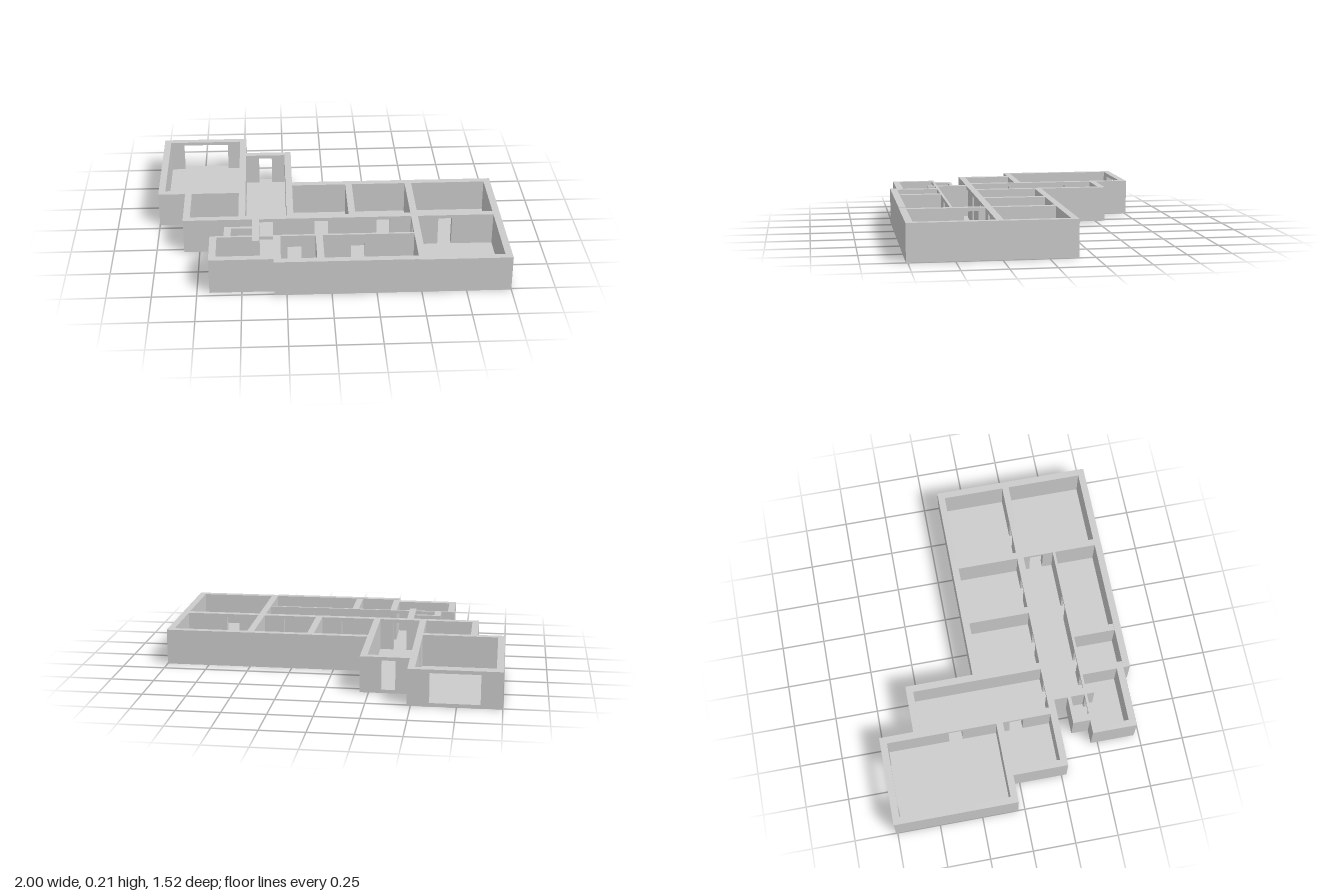
import * as THREE from 'three';

const FLOOR = 0.02, LINTEL = 0.19, TOP = 0.21;

// Building footprint as [x, z] corners
const outline = [
  [-1, -0.76], [-0.48, -0.76], [-0.48, -0.56], [-0.2, -0.56], [-0.2, -0.16], [1, -0.16],
  [1, 0.76], [-0.32, 0.76], [-0.32, 0.72], [-0.68, 0.72], [-0.68, 0.46], [-0.6, 0.46],
  [-0.6, 0.36], [-0.44, 0.36], [-0.44, 0.28], [-0.84, 0.28], [-0.84, -0.04], [-1, -0.04],
];

// Rooms, open to the top: [x0, x1, z0, z1]
const rooms = [
  [-0.96, -0.52, -0.72, -0.08], [-0.8, -0.52, -0.04, 0.24], [-0.48, -0.24, -0.52, 0.24],
  [-0.2, 0.12, -0.12, 0.24], [0.16, 0.48, -0.12, 0.24], [0.52, 0.96, -0.12, 0.24],
  [-0.4, 0.48, 0.28, 0.46], [0.52, 0.96, 0.28, 0.72], [-0.56, -0.44, 0.38, 0.46],
  [-0.64, -0.44, 0.475, 0.68], [-0.44, -0.4, 0.52, 0.68], [-0.4, -0.32, 0.475, 0.68],
  [-0.28, -0.08, 0.475, 0.72], [-0.04, 0.48, 0.475, 0.72],
];

// Doorways cut through the walls below the lintel: [x0, x1, z0, z1]
const doors = [
  [-0.88, -0.6, -0.76, -0.72], [-0.4, -0.32, -0.56, -0.52], // outside doors at the back
  [-0.52, -0.48, -0.36, -0.28], [-0.52, -0.48, 0, 0.08],
  [-0.4, -0.32, 0.24, 0.28], [-0.08, 0, 0.24, 0.28], [0.28, 0.36, 0.24, 0.28],
  [0.64, 0.72, 0.24, 0.28], [0.48, 0.52, 0.32, 0.4],
  [-0.54, -0.46, 0.46, 0.475], [-0.4, -0.32, 0.46, 0.475],
  [-0.24, -0.16, 0.46, 0.475], [0.12, 0.2, 0.46, 0.475],
];

const within = (list, x, z) => list.some(([a, b, c, d]) => x > a && x < b && z > c && z < d);

function inFootprint(x, z) {
  let inside = false;
  outline.forEach(([ax, az], i) => {
    const [bx, bz] = outline[(i + 1) % outline.length];
    if ((az > z) !== (bz > z) && x < ax + ((z - az) / (bz - az)) * (bx - ax)) inside = !inside;
  });
  return inside;
}

const isWall = (x, y, z) =>
  y > FLOOR && y < TOP && inFootprint(x, z) && !within(rooms, x, z) &&
  !(y < LINTEL && within(doors, x, z));

// Walls: split space along every wall line and skin only the exposed faces
function wallGeometry() {
  const sorted = (v) => [...new Set(v)].sort((a, b) => a - b);
  const cuts = [...rooms, ...doors];
  const lines = [
    sorted([...outline.map((p) => p[0]), ...cuts.flatMap((r) => [r[0], r[1]])]),
    [FLOOR, LINTEL, TOP],
    sorted([...outline.map((p) => p[1]), ...cuts.flatMap((r) => [r[2], r[3]])]),
  ];
  const mid = (axis, i) => {
    const l = lines[axis];
    if (i < 0) return l[0] - 1;
    if (i >= l.length - 1) return l[l.length - 1] + 1;
    return (l[i] + l[i + 1]) / 2;
  };
  const solid = (c) => isWall(mid(0, c[0]), mid(1, c[1]), mid(2, c[2]));
  const positions = [];

  const addFace = (cell, axis, dir) => {
    const u = (axis + 1) % 3, v = (axis + 2) % 3;
    const corner = (du, dv) => {
      const p = [0, 0, 0];
      p[axis] = lines[axis][cell[axis] + (dir > 0 ? 1 : 0)];
      p[u] = lines[u][cell[u] + du];
      p[v] = lines[v][cell[v] + dv];
      return p;
    };
    const q = [corner(0, 0), corner(1, 0), corner(1, 1), corner(0, 1)];
    if (dir < 0) q.reverse();
    for (const k of [0, 1, 2, 0, 2, 3]) positions.push(...q[k]);
  };

  for (let i = 0; i < lines[0].length - 1; i++)
    for (let j = 0; j < 2; j++)
      for (let k = 0; k < lines[2].length - 1; k++) {
        const cell = [i, j, k];
        if (!solid(cell)) continue;
        for (let axis = 0; axis < 3; axis++)
          for (const dir of [-1, 1]) {
            const next = [...cell];
            next[axis] += dir;
            const onFloor = axis === 1 && dir < 0 && j === 0;
            if (!onFloor && !solid(next)) addFace(cell, axis, dir);
          }
      }

  const geometry = new THREE.BufferGeometry();
  geometry.setAttribute('position', new THREE.Float32BufferAttribute(positions, 3));
  geometry.computeVertexNormals();
  return geometry;
}

export function createModel() {
  const group = new THREE.Group();
  group.name = 'floorPlan';
  const material = new THREE.MeshStandardMaterial({ color: 0xcccccc });
  const add = (name, geometry) => {
    const mesh = new THREE.Mesh(geometry, material);
    mesh.name = name;
    group.add(mesh);
    return mesh;
  };

  // Floor slab
  const shape = new THREE.Shape(outline.map(([x, z]) => new THREE.Vector2(x, -z)));
  const slab = new THREE.ExtrudeGeometry(shape, { depth: FLOOR, bevelEnabled: false });
  add('floor', slab.rotateX(-Math.PI / 2));

  add('walls', wallGeometry());

  // Slightly raised strip on top of the front wall
  add('frontCoping', new THREE.BoxGeometry(0.8, 0.003, 0.04)).position.set(0.08, TOP + 0.0015, 0.74);

  return group;
}
